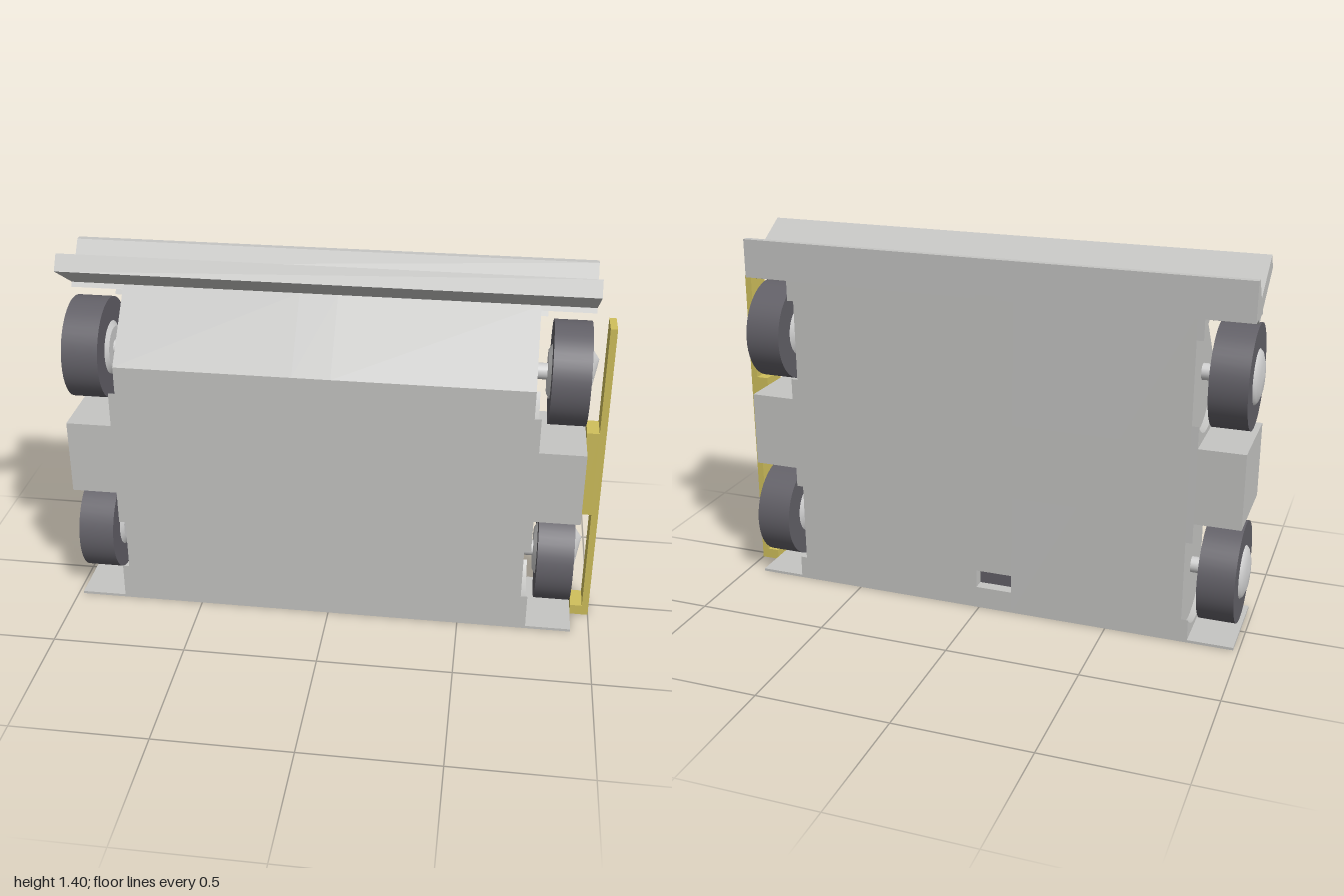
import * as THREE from 'three';

const mat = (name, color, side = THREE.FrontSide) => {
  const m = new THREE.MeshStandardMaterial({ color, side });
  m.name = name;
  return m;
};

export function createModel() {
  const grey = mat('light grey shell', 0xc5c5c3);
  const hubGrey = mat('hub grey', 0xd0d0d0);
  const rubber = mat('dark rubber', 0x636168);
  const yellow = mat('yellow bar', 0xd0c05c);
  const model = new THREE.Group();
  model.name = 'wheeledSlab';

  const add = (name, geo, material, parent = model) => {
    const mesh = new THREE.Mesh(geo, material);
    mesh.name = name;
    parent.add(mesh);
    return mesh;
  };
  const box = (name, x0, x1, y0, y1, z0, z1, material) =>
    add(name, new THREE.BoxGeometry(x1 - x0, y1 - y0, z1 - z0), material)
      .position.set((x0 + x1) / 2, (y0 + y1) / 2, (z0 + z1) / 2);
  const poly = (pts) => new THREE.Shape(pts.map(([z, y]) => new THREE.Vector2(z, y)));
  // Extrude a (z, y) side profile from x0 to x1
  const slab = (name, shape, x0, x1) => {
    const geo = new THREE.ExtrudeGeometry(shape, { depth: x1 - x0, bevelEnabled: false, curveSegments: 24 });
    geo.rotateY(-Math.PI / 2).translate(x1, 0, 0);
    add(name, geo, grey);
  };

  const F = 0.19, B = -0.15;            // front and back planes
  const LOW = 0.245, HIGH = 0.995;      // axle heights
  const R = 0.215;                      // wheel recess radius
  const X0 = -0.98, X1 = 0.93;          // full body width

  // Core body, with a shallow slot in the back
  const front = [[B, 0], [F, 0], [F, 1.0], [-0.02, 1.24], [B, 1.24]];
  const slot = [[B, 0.155], [B + 0.05, 0.155], [B + 0.05, 0.085], [B, 0.085]];
  slab('coreRight', poly(front), -0.785, -0.13);
  slab('coreMiddle', poly([...front, ...slot]), -0.13, 0.01);
  slab('coreLeft', poly(front), 0.01, 0.735);
  box('slotFloor', -0.13, 0.01, 0.085, 0.155, B + 0.044, B + 0.05, rubber);

  // Core side layers, bitten away by the round wheel recesses
  const af = Math.acos(F / R), ab = Math.acos(B / R);
  const bottom = new THREE.Shape();
  bottom.moveTo(B, 0).lineTo(F, 0);
  bottom.absarc(0, LOW, R, -af, -ab, true);
  const middle = new THREE.Shape();
  middle.absarc(0, LOW, R, ab, af, true);
  middle.absarc(0, HIGH, R, -af, -ab, true);
  const top = new THREE.Shape();
  top.absarc(0, HIGH, R, ab, 1.543, true);
  top.lineTo(-0.02, 1.24).lineTo(B, 1.24);
  for (const [x0, x1] of [[-0.81, -0.785], [0.735, 0.76]]) {
    [bottom, middle, top].forEach((s) => slab('recessWall', s, x0, x1));
  }

  // Full-width waist and base plate
  box('waist', X0, X1, 0.475, 0.76, B, F, grey);
  box('basePlate', X0, X1, 0, 0.01, B, F, grey);

  // Full-width top with the forward-tilted flap
  slab('topFlap', poly([
    [-0.007, 1.225], [-0.02, 1.24], [0.155, 1.345], [0.12, 1.4], [-0.065, 1.29], [-0.125, 1.37],
    [B, 1.37], [B, 1.225], [-0.095, 1.225], [-0.08, 1.205], [-0.05, 1.225],
  ]), X0, X1);

  // Wheels: local y points outward along the axle
  const W = 0.135;
  const wheel = (side, x, y) => {
    const g = new THREE.Group();
    g.name = side > 0 ? 'leftWheel' : 'rightWheel';
    g.position.set(x, y, 0);
    g.rotation.z = -side * Math.PI / 2;
    model.add(g);
    add('tyre', new THREE.CylinderGeometry(0.19, 0.19, W, 48), rubber, g);
    let cap;
    if (side > 0) {
      // Off-centre pointed cap
      cap = new THREE.ConeGeometry(0.1, 0.034, 32, 1);
      const p = cap.attributes.position;
      for (let i = 0; i < p.count; i++) {
        if (p.getY(i) > 0.01) p.setXYZ(i, -0.045, 0.017, -0.03);
      }
      cap.computeVertexNormals();
      cap.translate(0, W / 2 + 0.018, 0);
    } else {
      // Domed cap
      cap = new THREE.LatheGeometry([[0.1, 0], [0.09, 0.01], [0.06, 0.02], [0, 0.025]]
        .map(([r, h]) => new THREE.Vector2(r, h + W / 2)), 32);
    }
    add('hubCap', cap, hubGrey, g);
    add('innerHub', new THREE.CylinderGeometry(0.1, 0.08, 0.012, 32), hubGrey, g).position.y = -W / 2 - 0.006;
    add('axle', new THREE.CylinderGeometry(0.03, 0.03, 0.055, 20), hubGrey, g).position.y = -W / 2 - 0.0275;
  };
  for (const y of [LOW, HIGH]) {
    wheel(1, 0.8525, y);
    wheel(-1, -0.9075, y);
  }

  // Yellow upright bar with its two mounting blocks
  box('sideBar', 0.975, 1, 0, 1.2, -0.035, 0.07, yellow);
  box('barMiddleBlock', 0.93, 0.975, 0.45, 0.79, -0.035, 0.07, yellow);
  box('barFootBlock', 0.93, 0.975, 0, 0.04, -0.035, 0.07, yellow);

  return model;
}
